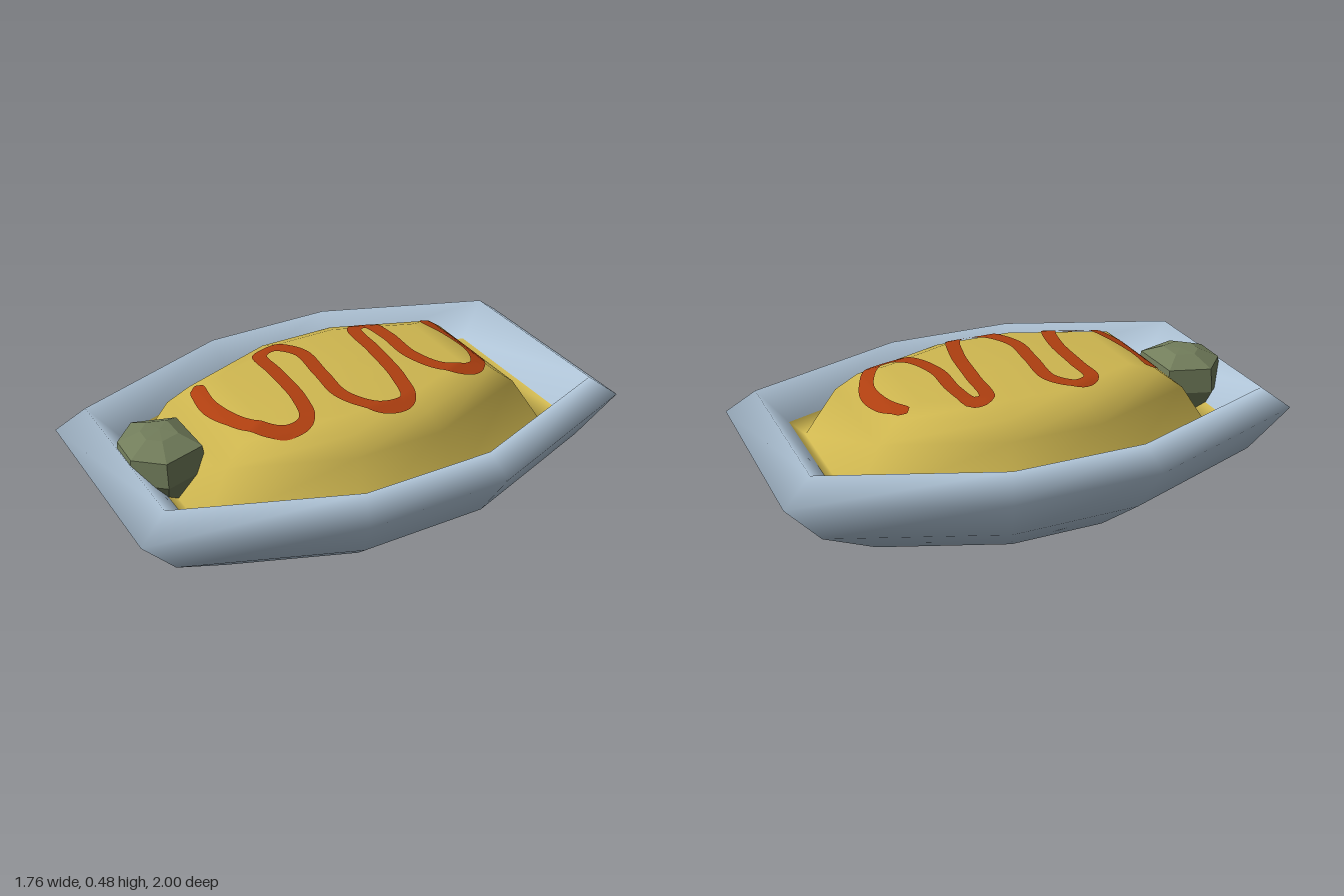
import * as THREE from 'three';

// Half of the eight-sided dish outline (x, z); the other half is its point reflection
const half = [[0.24, -1], [0.88, -0.53], [0.69, 0.17], [0.37, 0.61]];
const outline = [...half, ...half.map(([x, z]) => [-x, -z])];

// Sections as [scale of outline, height]
const dishProfile = [[0, 0], [0.64, 0], [0.86, 0.13], [1, 0.295], [0.89, 0.377], [0.78, 0.25]];
const omeletteProfile = [[0.78, 0.25], [0.725, 0.2], [0.61, 0.38], [0.53, 0.44], [0.42, 0.473], [0, 0.476]];
const picklePofile = [[0.6, 0.18], [1, 0.3], [0.93, 0.39], [0.42, 0.425], [0, 0.428]];

// Skin a ring of points through a list of scaled sections
function loft(ring, profile, cx = 0, cz = 0) {
  const n = ring.length, pos = [], idx = [];
  for (const [s, y] of profile)
    for (const [x, z] of ring) pos.push(cx + x * s, y, cz + z * s);
  for (let r = 0; r < profile.length - 1; r++)
    for (let i = 0; i < n; i++) {
      const j = (i + 1) % n;
      const a = r * n + i, b = a + n, c = r * n + j, d = c + n;
      idx.push(a, b, c, c, b, d);
    }
  const g = new THREE.BufferGeometry();
  g.setAttribute('position', new THREE.Float32BufferAttribute(pos, 3));
  g.setIndex(idx);
  g.computeVertexNormals();
  return g;
}

// Height of the omelette surface above a point
function omeletteHeight(x, z) {
  let s = 0;
  outline.forEach(([ax, az], i) => {
    const [bx, bz] = outline[(i + 1) % 8];
    const nx = bz - az, nz = ax - bx;
    s = Math.max(s, (nx * x + nz * z) / (nx * ax + nz * az));
  });
  for (let k = 2; k < omeletteProfile.length - 1; k++) {
    const [s0, y0] = omeletteProfile[k], [s1, y1] = omeletteProfile[k + 1];
    if (s <= s0 && s >= s1) return y0 + (y1 - y0) * (s0 - s) / (s0 - s1);
  }
  return 0.38;
}

// Flat ribbon draped over the omelette along a wavy path
function sauceRibbon() {
  const path = [[-0.44, 0.285], [-0.32, 0.385], [-0.13, 0.455], [-0.01, 0.43], [0.03, 0.36], [-0.05, 0.25],
    [-0.21, 0.12], [-0.31, 0.04], [-0.29, -0.03], [-0.19, -0.04], [-0.05, 0.07], [0.08, 0.17], [0.22, 0.18],
    [0.29, 0.1], [0.21, -0.02], [0.05, -0.17], [-0.08, -0.29], [-0.05, -0.335], [0.05, -0.29], [0.19, -0.19],
    [0.33, -0.16], [0.42, -0.23], [0.37, -0.36], [0.24, -0.45], [0.11, -0.49]];
  const curve = new THREE.CatmullRomCurve3(path.map(([x, z]) => new THREE.Vector3(x, 0, z)));
  const steps = 240, across = 4, pos = [], idx = [];
  const length = curve.getLength();
  for (let i = 0; i <= steps; i++) {
    const p = curve.getPointAt(i / steps), t = curve.getTangentAt(i / steps);
    // Rounded ends
    const end = Math.min(i, steps - i) / steps * length;
    const w = 0.027 * Math.sqrt(Math.max(0.02, 1 - Math.max(0, 1 - end / 0.027) ** 2));
    for (let k = 0; k <= across; k++) {
      const o = (k / across * 2 - 1) * w;
      const x = p.x - t.z * o, z = p.z + t.x * o;
      pos.push(x, omeletteHeight(x, z) + 0.006, z);
      if (i < steps && k < across) {
        const a = i * (across + 1) + k, b = a + across + 1;
        idx.push(a, a + 1, b, b, a + 1, b + 1);
      }
    }
  }
  const g = new THREE.BufferGeometry();
  g.setAttribute('position', new THREE.Float32BufferAttribute(pos, 3));
  g.setIndex(idx);
  g.computeVertexNormals();
  return g;
}

export function createModel() {
  const group = new THREE.Group();
  const material = (name, color, extra = {}) => {
    const m = new THREE.MeshStandardMaterial({ color, ...extra });
    m.name = name;
    return m;
  };
  const add = (name, geometry, mat) => {
    const mesh = new THREE.Mesh(geometry, mat);
    mesh.name = name;
    group.add(mesh);
  };

  add('dish', loft(outline, dishProfile), material('pale blue ceramic', 0xb2c7da));
  add('omelette', loft(outline, omeletteProfile), material('egg yellow', 0xcfb750));
  add('sauce', sauceRibbon(), material('red sauce', 0xae3f10, { side: THREE.DoubleSide }));

  // Faceted green garnish at the front corner
  const garnishRing = [[-0.02, -0.15], [0.165, -0.02], [0.11, 0.14], [-0.02, 0.17], [-0.13, 0.085], [-0.155, -0.05]];
  add('garnish', loft(garnishRing, picklePofile, -0.43, 0.55),
    material('olive green', 0x727d5b, { flatShading: true }));
  return group;
}
